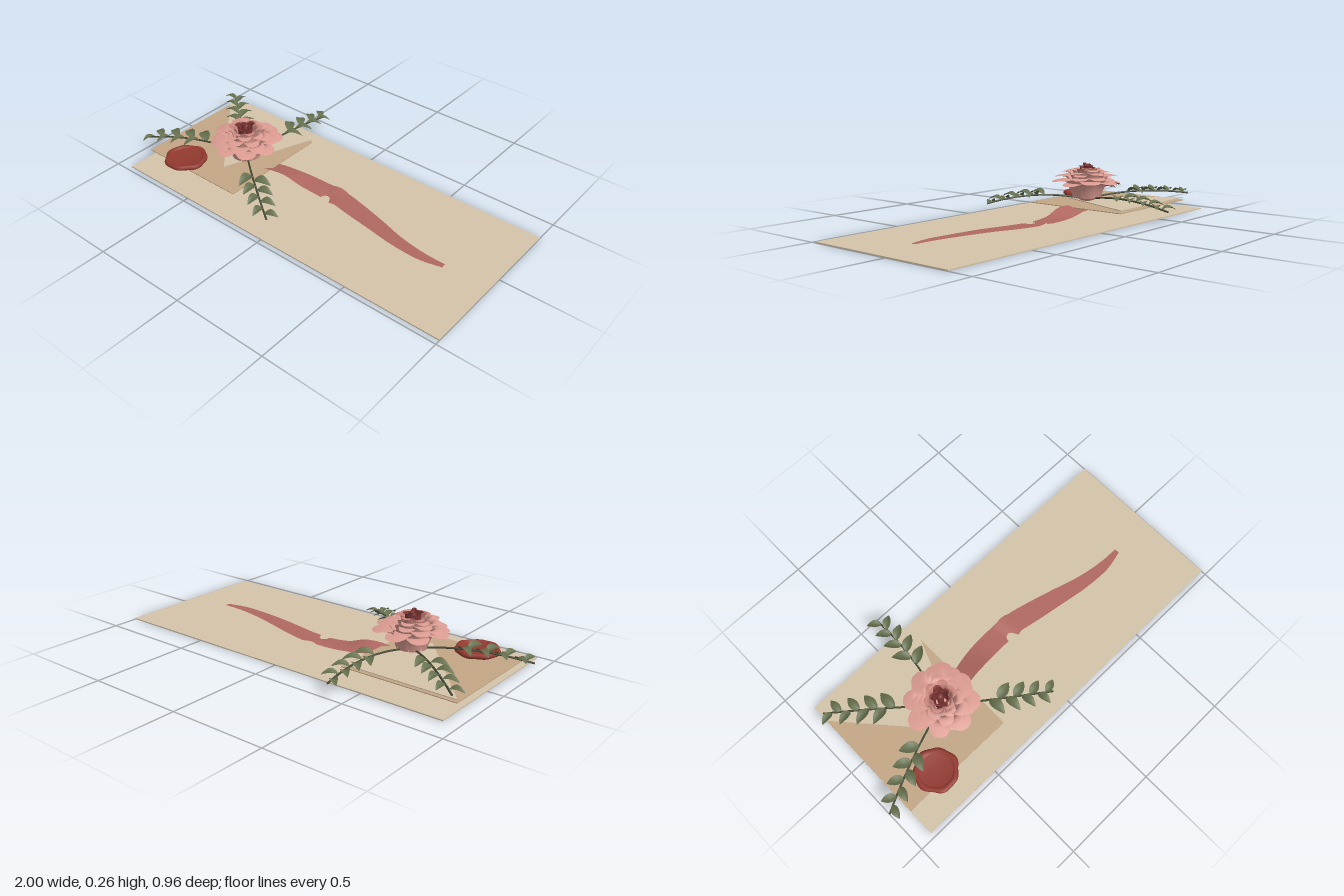
import * as THREE from 'three';

const mat = (name, color, side = THREE.DoubleSide) => {
  const m = new THREE.MeshStandardMaterial({ color, side });
  m.name = name;
  return m;
};

// Grid surface: f(u, v) -> [x, y, z], u and v in 0..1
function surface(f, nu, nv) {
  const pos = [], idx = [];
  for (let j = 0; j <= nv; j++) for (let i = 0; i <= nu; i++) pos.push(...f(i / nu, j / nv));
  for (let j = 0; j < nv; j++) for (let i = 0; i < nu; i++) {
    const a = j * (nu + 1) + i, b = a + nu + 1;
    idx.push(a, b, a + 1, b, b + 1, a + 1);
  }
  const g = new THREE.BufferGeometry();
  g.setAttribute('position', new THREE.Float32BufferAttribute(pos, 3));
  g.setIndex(idx);
  g.computeVertexNormals();
  return g;
}

// Rose petal: rises from radius rb to rt, cupped, rounded tip curling outwards
function petalGeometry({ rb, rt, yb, yt, half, curl }) {
  return surface((u, v) => {
    const s = u * 2 - 1;
    const t = v * (1 - 0.2 * s * s * s * s - 0.05 * s * s);
    const a = s * half * (0.75 + 0.35 * Math.sin(Math.PI * Math.min(1, t * 0.8)));
    const lip = Math.max(0, t - 0.72) / 0.28;
    const r = rb + (rt - rb) * (0.6 * t + 0.4 * t * t) + curl * lip * lip - 0.012 * s * s * t;
    const y = yb + (yt - yb) * Math.sin(Math.min(1, t * 1.08) * Math.PI / 2) - curl * 0.5 * lip * lip;
    return [Math.sin(a) * r, y, Math.cos(a) * r];
  }, 8, 9);
}

// Pointed leaf along +z, folded along the midrib and drooping at the tip
const leafGeometry = surface((u, v) => {
  const s = u * 2 - 1;
  const w = 0.27 * Math.pow(Math.sin(Math.PI * Math.pow(v, 0.8)), 0.85) || 0;
  return [s * w, 0.45 * Math.abs(s) * w + 0.16 * Math.sin(Math.PI * v) - 0.1 * v, v];
}, 4, 10);

export function createModel() {
  const paper = mat('paper', 0xd3c3a9);
  const kraft = mat('kraft envelope', 0xc2a685);
  const pink = mat('petal pink', 0xdc9c92);
  const rosePink = mat('inner petal pink', 0xcb867d);
  const deepRed = mat('rose heart red', 0x7c3433);
  const ribbonRed = mat('ribbon red', 0xb0686180 >>> 8);
  ribbonRed.color.set(0xb06861);
  const wax = mat('sealing wax', 0x92392f);
  const leafGreen = mat('leaf green', 0x66704e);
  const stemGreen = mat('stem green', 0x444b36);

  const model = new THREE.Group();
  const add = (name, geo, m, parent = model) => {
    const mesh = new THREE.Mesh(geo, m);
    mesh.name = name;
    parent.add(mesh);
    return mesh;
  };

  // Backing sheet and envelope
  add('sheet', new THREE.BoxGeometry(1.92, 0.006, 0.845), paper).position.set(0.04, 0.003, 0.0525);
  add('envelope', new THREE.BoxGeometry(0.61, 0.004, 0.6), kraft).position.set(-0.615, 0.04, 0.04);
  const flap = new THREE.Shape([[-0.92, 0.26], [-0.495, -0.22], [-0.31, 0.26]].map(p => new THREE.Vector2(...p)));
  const flapGeo = new THREE.ExtrudeGeometry(flap, { depth: 0.004, bevelEnabled: false });
  flapGeo.rotateX(-Math.PI / 2);
  add('envelopeFlap', flapGeo, paper).position.y = 0.053;

  // Ribbon stations: x, y, z, half width, tilt
  const stations = [
    [-0.37, 0.03, 0.045, 0.045, 0.008], [-0.3, 0.037, 0.03, 0.05, 0.013], [-0.22, 0.033, 0.014, 0.055, 0.015],
    [-0.12, 0.016, 0, 0.057, 0.004], [0, 0.01, -0.005, 0.056, 0], [0.1, 0.01, 0, 0.056, 0],
    [0.2, 0.01, 0.02, 0.054, 0], [0.35, 0.012, 0.053, 0.046, 0], [0.5, 0.01, 0.085, 0.036, 0],
    [0.65, 0.01, 0.1, 0.027, 0], [0.765, 0.01, 0.09, 0.013, 0]];
  const centre = new THREE.CatmullRomCurve3(stations.map(s => new THREE.Vector3(s[0], s[1], s[2])));
  const shape = new THREE.CatmullRomCurve3(stations.map(s => new THREE.Vector3(s[3], s[4], 0)));
  add('ribbon', surface((u, v) => {
    const s = 1 - u * 2, p = centre.getPoint(v), q = shape.getPoint(v), d = centre.getTangent(v);
    const k = Math.hypot(d.x, d.z);
    return [p.x - s * q.x * d.z / k, p.y + s * q.y, p.z + s * q.x * d.x / k];
  }, 4, 60), ribbonRed);

  // Wax seal with an uneven rim and a sunken face
  const sealGeo = new THREE.LatheGeometry(
    [[0, 0.042], [0.1, 0.042], [0.108, 0.048], [0.11, 0.057], [0.104, 0.065], [0.094, 0.068],
      [0.085, 0.064], [0.08, 0.057], [0, 0.057]].map(p => new THREE.Vector2(...p)), 48);
  const sp = sealGeo.attributes.position;
  for (let i = 0; i < sp.count; i++) {
    const x = sp.getX(i), z = sp.getZ(i), a = Math.atan2(z, x);
    const k = 1 + (Math.hypot(x, z) > 0.09 ? 0.03 * Math.sin(7 * a) + 0.025 * Math.sin(4 * a + 1) : 0);
    sp.setX(i, x * k);
    sp.setZ(i, z * k);
  }
  sealGeo.computeVertexNormals();
  add('waxSeal', sealGeo, wax).position.set(-0.705, 0, 0.285);

  // Rose: rings of petals from the open outside to the tight heart
  const rose = new THREE.Group();
  rose.name = 'rose';
  rose.position.set(-0.47, 0, 0.075);
  model.add(rose);
  const rings = [
    [8, 0.075, 0.155, 0.075, 0.172, 0.46, 0.03, pink],
    [9, 0.07, 0.142, 0.078, 0.192, 0.42, 0.026, pink],
    [8, 0.06, 0.118, 0.08, 0.212, 0.45, 0.022, pink],
    [7, 0.05, 0.092, 0.085, 0.226, 0.5, 0.018, pink],
    [6, 0.04, 0.068, 0.09, 0.238, 0.58, 0.012, rosePink],
    [5, 0.03, 0.045, 0.1, 0.246, 0.7, 0.006, deepRed],
    [4, 0.015, 0.024, 0.1, 0.256, 0.9, 0.002, deepRed]];
  rings.forEach(([n, rb, rt, yb, yt, half, curl, m], ring) => {
    for (let i = 0; i < n; i++) {
      const k = Math.sin(i * 2.4 + ring * 1.7);
      const geo = petalGeometry({ rb, rt: rt * (1 + 0.04 * k), yb, yt: yt + 0.008 * k, half, curl });
      add('petal', geo, m, rose).rotation.y = (i / n) * Math.PI * 2 + ring * 0.55;
    }
  });
  add('roseBase', new THREE.CylinderGeometry(0.075, 0.03, 0.022, 20), pink, rose).position.y = 0.07;
  add('roseHeart', new THREE.SphereGeometry(0.02, 12, 8), deepRed, rose).position.y = 0.235;

  // Leafy sprigs: tip x, y, z and bend of the stem's middle in x, z
  const sprigs = [
    [-0.91, 0.085, -0.29, 0.02, 0.02], [-0.405, 0.06, -0.48, 0.04, 0],
    [-1, 0.06, 0.285, 0.02, -0.03], [-0.03, 0.06, 0.4, -0.01, 0.02]];
  for (const [x, y, z, bx, bz] of sprigs) {
    const sprig = new THREE.Group();
    sprig.name = 'sprig';
    model.add(sprig);
    const curve = new THREE.QuadraticBezierCurve3(
      new THREE.Vector3(-0.47, 0.065, 0.075),
      new THREE.Vector3((x - 0.47) / 2 + bx, 0.128, (z + 0.075) / 2 + bz),
      new THREE.Vector3(x, y, z));
    add('stem', new THREE.TubeGeometry(curve, 20, 0.005, 6), stemGreen, sprig);
    for (let i = 0; i < 8; i++) {
      const t = 0.42 + i * 0.073, side = i % 2 ? 1 : -1;
      const d = curve.getTangent(t);
      const leaf = add('leaf', leafGeometry, leafGreen, sprig);
      leaf.position.copy(curve.getPoint(t));
      leaf.rotation.order = 'YXZ';
      leaf.rotation.set(-0.08, Math.atan2(d.x, d.z) + side * 0.85, side * 0.15);
      leaf.scale.setScalar(0.102 - 0.004 * i);
    }
  }
  return model;
}
